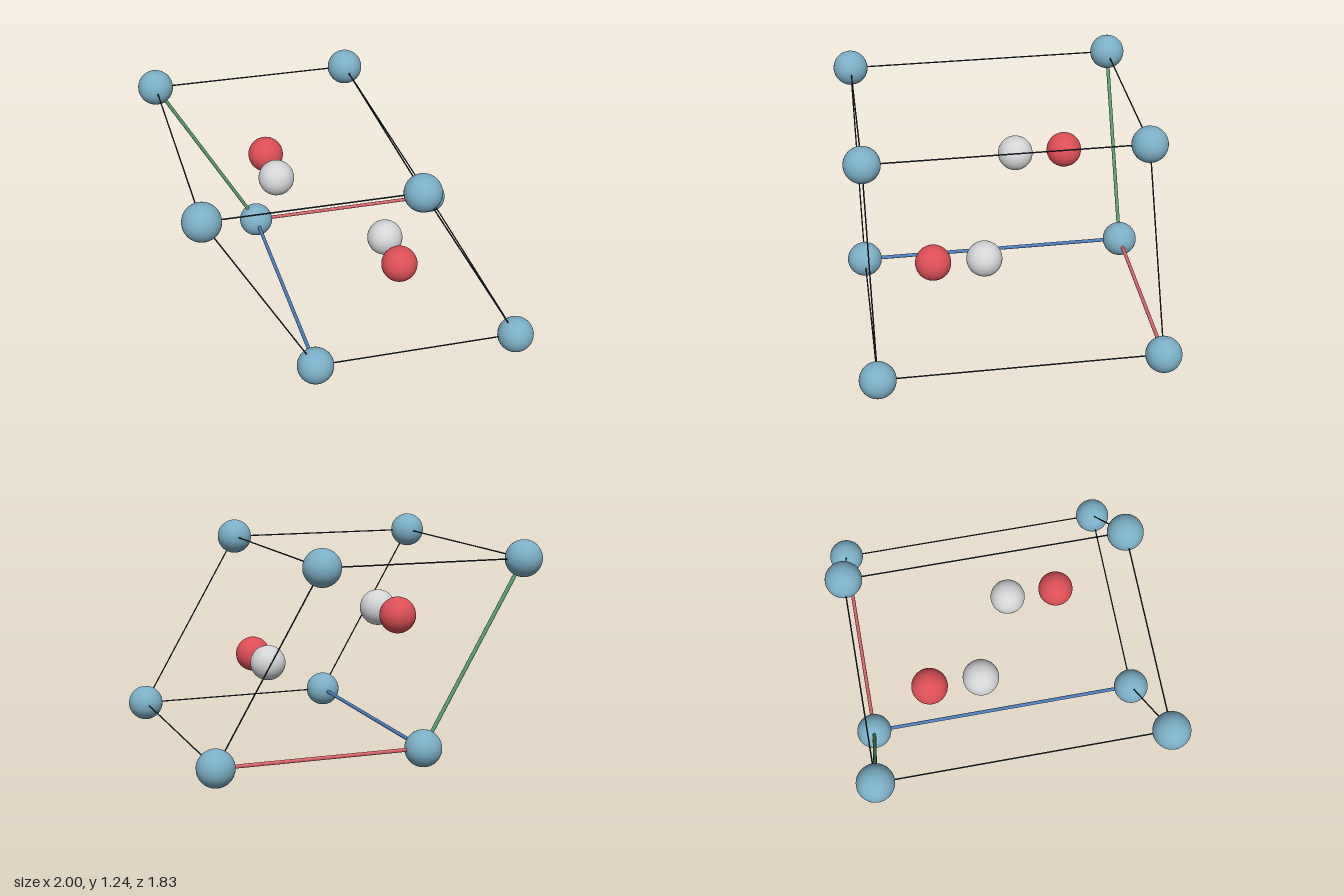
import * as THREE from 'three';

const R = 0.105; // atom radius
const X = 0.298, Y0 = 0.105, H = 1.034, Z = 0.811;

function material(name, color) {
  const m = new THREE.MeshStandardMaterial({ color });
  m.name = name;
  return m;
}

export function createModel() {
  const model = new THREE.Group();
  model.name = 'crystalUnitCell';
  const teal = material('teal', 0x7bafc7);
  const red = material('red', 0xdc4f55);
  const white = material('light grey', 0xd3d4d6);
  const axisRed = material('axis red', 0xd9646a);
  const axisGreen = material('axis green', 0x5c9c6c);
  const axisBlue = material('axis blue', 0x4f7dbd);
  const dark = material('dark edge', 0x232a33);

  const ball = new THREE.SphereGeometry(R, 40, 28);
  function atom(name, pos, mat) {
    const mesh = new THREE.Mesh(ball, mat);
    mesh.name = name;
    mesh.position.copy(pos);
    model.add(mesh);
  }

  // Straight rod between two points
  function rod(name, a, b, radius, mat) {
    const dir = b.clone().sub(a);
    const mesh = new THREE.Mesh(new THREE.CylinderGeometry(radius, radius, dir.length(), 12), mat);
    mesh.name = name;
    mesh.position.copy(a).add(b).multiplyScalar(0.5);
    mesh.quaternion.setFromUnitVectors(new THREE.Vector3(0, 1, 0), dir.normalize());
    model.add(mesh);
  }

  // Cell corner from lattice indices: i along x, j up the slant, k along z
  const corner = (i, j, k) =>
    new THREE.Vector3(-X + 4 * X * i - 2 * X * j, Y0 + H * j, -Z + 2 * Z * k);

  // Corner atoms, and the edges leaving each corner along the three axes
  const axes = [
    { name: 'redAxis', step: [1, 0, 0], mat: axisRed },
    { name: 'greenAxis', step: [0, 1, 0], mat: axisGreen },
    { name: 'blueAxis', step: [0, 0, 1], mat: axisBlue },
  ];
  for (let n = 0; n < 8; n++) {
    const c = [n & 1, (n >> 1) & 1, (n >> 2) & 1];
    atom('cornerAtom', corner(...c), teal);
    axes.forEach(({ name, step, mat }, a) => {
      if (c[a]) return;
      const end = c.map((v, q) => v + step[q]);
      if (n === 0) rod(name, corner(...c), corner(...end), 0.011, mat);
      else rod('cellEdge', corner(...c), corner(...end), 0.004, dark);
    });
  }

  // Two pairs of inner atoms, related by inversion through the cell centre
  for (const s of [-1, 1]) {
    const y = Y0 + H / 2 - s * H / 6;
    atom('innerPaleAtom', new THREE.Vector3(s * X, y, s * 0.135), white);
    atom('innerRedAtom', new THREE.Vector3(s * X, y, s * 0.434), red);
  }
  return model;
}
